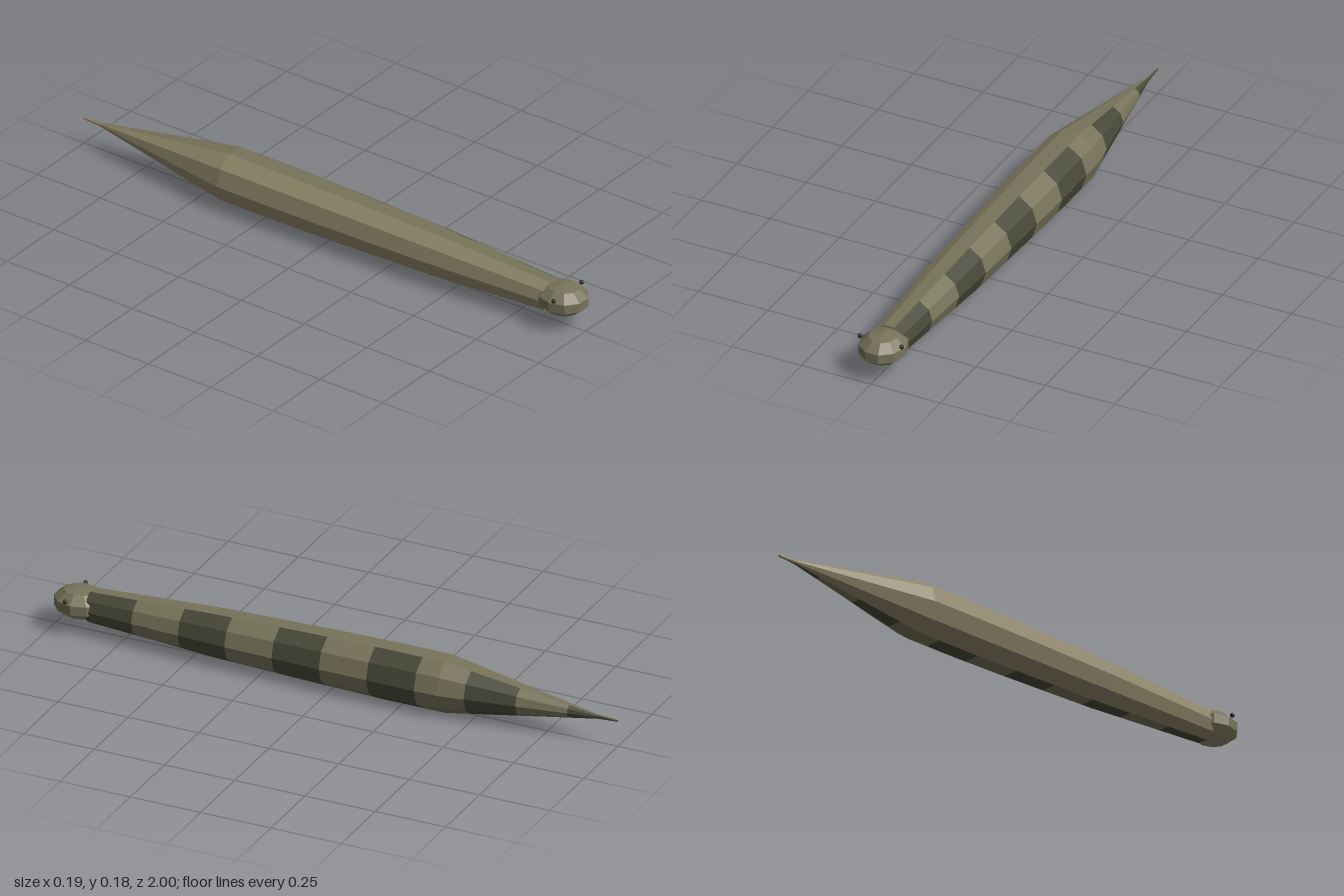
import * as THREE from 'three';

const mat = (name, color) => {
  const m = new THREE.MeshStandardMaterial({ color, flatShading: true });
  m.name = name;
  return m;
};

// Body radius along z, from neck to tail tip
const PROFILE = [[0.87, 0.058], [0.4, 0.083], [0, 0.093], [-0.2, 0.096], [-0.4, 0.096], [-0.93, 0.007], [-1, 0.003]];
const SIDES = 10, BANDS = 11, CY = 0.0935, NECK = 0.87;

function radiusAt(z) {
  for (let i = 1; i < PROFILE.length; i++) {
    const [z0, r0] = PROFILE[i - 1], [z1, r1] = PROFILE[i];
    if (z >= z1 - 1e-6) return r0 + (r1 - r0) * (z0 - z) / (z0 - z1);
  }
  return PROFILE[PROFILE.length - 1][1];
}

export function createModel() {
  const group = new THREE.Group();
  const olive = mat('olive', 0x77735a);
  const brown = mat('brown', 0x8e8468);
  const dark = mat('darkBand', 0x474838);
  const eyeMat = mat('eyeDark', 0x2b2b24);

  const add = (name, geo, material) => {
    const m = new THREE.Mesh(geo, material);
    m.name = name;
    group.add(m);
    return m;
  };

  // Ring positions: band edges plus profile bends
  const edges = Array.from({ length: BANDS + 1 }, (_, i) => NECK - i * (NECK + 1) / BANDS);
  const rings = [...edges, ...PROFILE.map(p => p[0])]
    .sort((a, b) => b - a)
    .filter((z, i, a) => i === 0 || a[i - 1] - z > 1e-4);

  // Skin facets gathered by colour: banded flank, plain back and other flank
  const skin = { lightBands: [], darkBands: [], plainFlank: [] };
  const point = (z, k) => {
    const a = k * 2 * Math.PI / SIDES, r = radiusAt(z);
    return [r * Math.cos(a), CY + r * Math.sin(a), z];
  };
  for (let i = 0; i < rings.length - 1; i++) {
    const z0 = rings[i], z1 = rings[i + 1];
    const band = Math.floor((NECK - (z0 + z1) / 2) / ((NECK + 1) / BANDS));
    for (let k = 0; k < SIDES; k++) {
      const banded = k < 2 || k >= 7;
      const key = banded ? (band % 2 ? 'lightBands' : 'darkBands') : (k === 2 ? 'lightBands' : 'plainFlank');
      const a = point(z0, k), b = point(z0, k + 1), c = point(z1, k + 1), d = point(z1, k);
      skin[key].push(...a, ...c, ...b, ...a, ...d, ...c);
    }
  }
  const skinMat = { lightBands: olive, darkBands: dark, plainFlank: brown };
  for (const key in skin) {
    const g = new THREE.BufferGeometry();
    g.setAttribute('position', new THREE.Float32BufferAttribute(skin[key], 3));
    g.computeVertexNormals();
    add(key, g, skinMat[key]);
  }

  // Ends of the body
  add('neckCap', new THREE.CircleGeometry(radiusAt(NECK), SIDES), brown).position.set(0, CY, NECK);
  const tail = add('tailCap', new THREE.CircleGeometry(radiusAt(-1), SIDES), dark);
  tail.position.set(0, CY, -1);
  tail.rotation.y = Math.PI;

  // Flattened head: olive crown and muzzle band, brown jaw
  const split = Math.PI * 3 / 5;
  const headParts = [
    ['headTop', new THREE.SphereGeometry(1, 10, 3, 0, Math.PI * 2, 0, split), olive],
    ['jaw', new THREE.SphereGeometry(1, 10, 2, 0, Math.PI * 2, split, Math.PI - split), brown],
  ];
  for (const [name, geo, material] of headParts) {
    geo.scale(0.082, 0.052, 0.092);
    add(name, geo, material).position.set(0, 0.0975, 0.912);
  }

  // Eyes
  for (const s of [1, -1]) {
    add(s > 0 ? 'leftEye' : 'rightEye', new THREE.SphereGeometry(0.008, 8, 6), eyeMat).position.set(s * 0.075, 0.125, 0.93);
  }
  return group;
}
